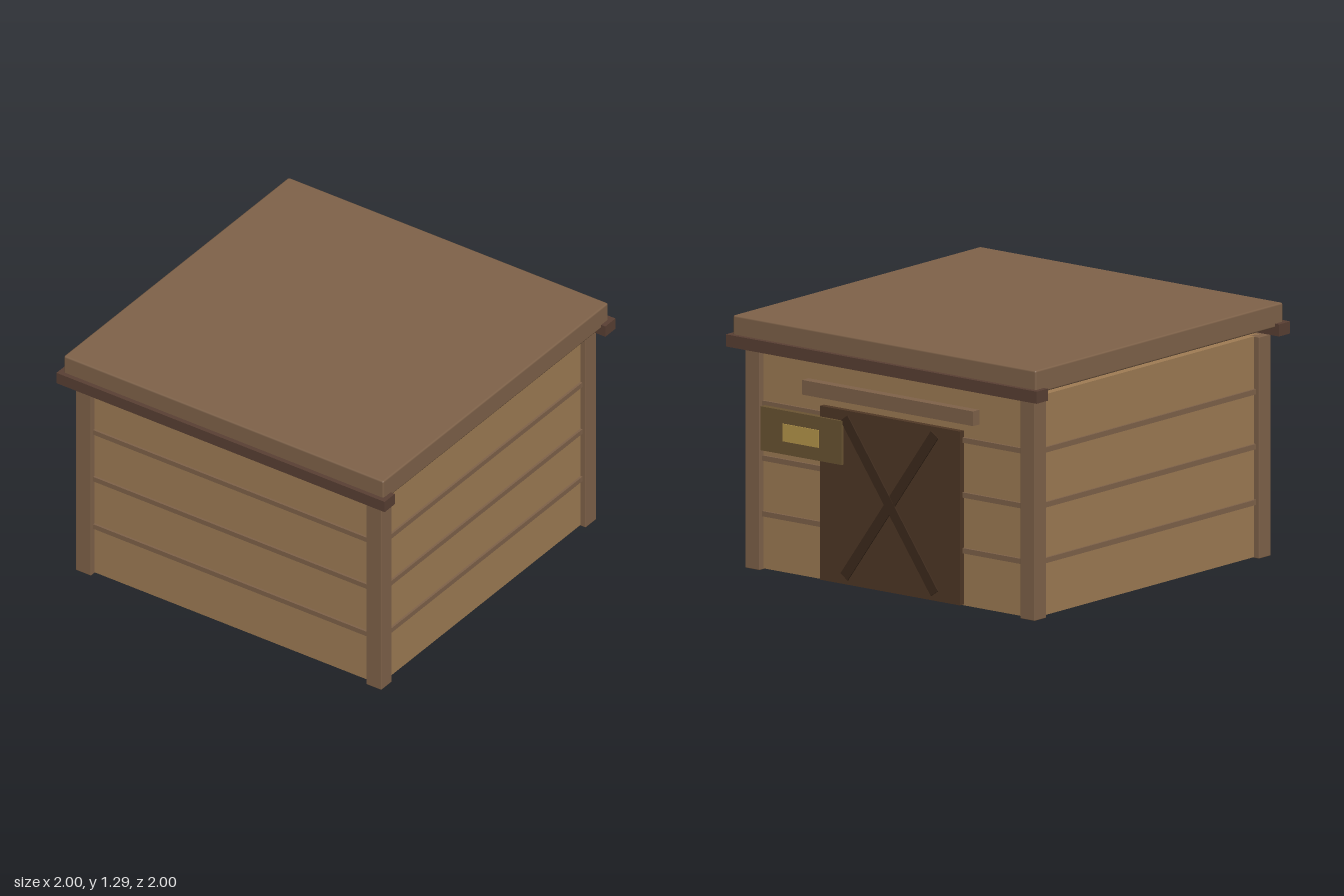
import * as THREE from 'three';
import { RoundedBoxGeometry } from 'three/addons/geometries/RoundedBoxGeometry.js';

const paint = (color) => new THREE.MeshStandardMaterial({ color });

export function createModel() {
  const model = new THREE.Group();
  const plank = paint(0xa07d55), trim = paint(0x80634a), beamWood = paint(0x5a4034);
  const doorWood = paint(0x503826), braceWood = paint(0x3d2a1c);
  const signWood = paint(0x6b5533), brass = paint(0xb8984c);

  // Adds a box given its size and centre; bevel softens the edges
  function box(name, material, [w, h, d], [x, y, z], bevel = 0) {
    const geometry = bevel
      ? new RoundedBoxGeometry(w, h, d, 1, bevel)
      : new THREE.BoxGeometry(w, h, d);
    const mesh = new THREE.Mesh(geometry, material);
    mesh.name = name;
    mesh.position.set(x, y, z);
    model.add(mesh);
    return mesh;
  }

  // Walls
  box('walls', plank, [1.8, 1.13, 1.8], [0, 0.57, 0]);

  // Horizontal battens on all four sides
  for (const y of [0.287, 0.572, 0.853]) {
    for (const s of [-1, 1]) {
      box('wallBatten', trim, [1.7, 0.027, 0.02], [0, y, s * 0.902]);
      box('wallBatten', trim, [0.02, 0.027, 1.7], [s * 0.902, y, 0]);
    }
  }

  // Corner posts
  for (const sx of [-1, 1]) {
    for (const sz of [-1, 1]) {
      box('cornerPost', trim, [0.093, 1.135, 0.093], [sx * 0.885, 0.5675, sz * 0.885], 0.004);
    }
  }

  // Eave beams at front and back, and the flat roof resting in them
  for (const s of [-1, 1]) {
    box('eaveBeam', beamWood, [2, 0.062, 0.088], [0, 1.166, s * 0.956]);
  }
  box('roof', trim, [1.95, 0.12, 1.95], [0, 1.235, 0], 0.01);

  // Sliding door on the back with crossed braces and a top rail
  box('door', doorWood, [0.9, 0.89, 0.035], [0, 0.455, -0.914]);
  for (const s of [-1, 1]) {
    const brace = box('doorBrace', braceWood, [1, 0.055, 0.02], [0, 0.455, -0.927 - (s + 1) * 0.0005]);
    brace.rotation.z = s * 0.95;
  }
  box('doorRail', trim, [1.1, 0.075, 0.055], [0, 0.983, -0.922]);

  // Sign board with a small plate
  box('signBoard', signWood, [0.52, 0.225, 0.05], [0.56, 0.733, -0.92]);
  box('signPlate', brass, [0.23, 0.09, 0.01], [0.56, 0.733, -0.945]);

  return model;
}
